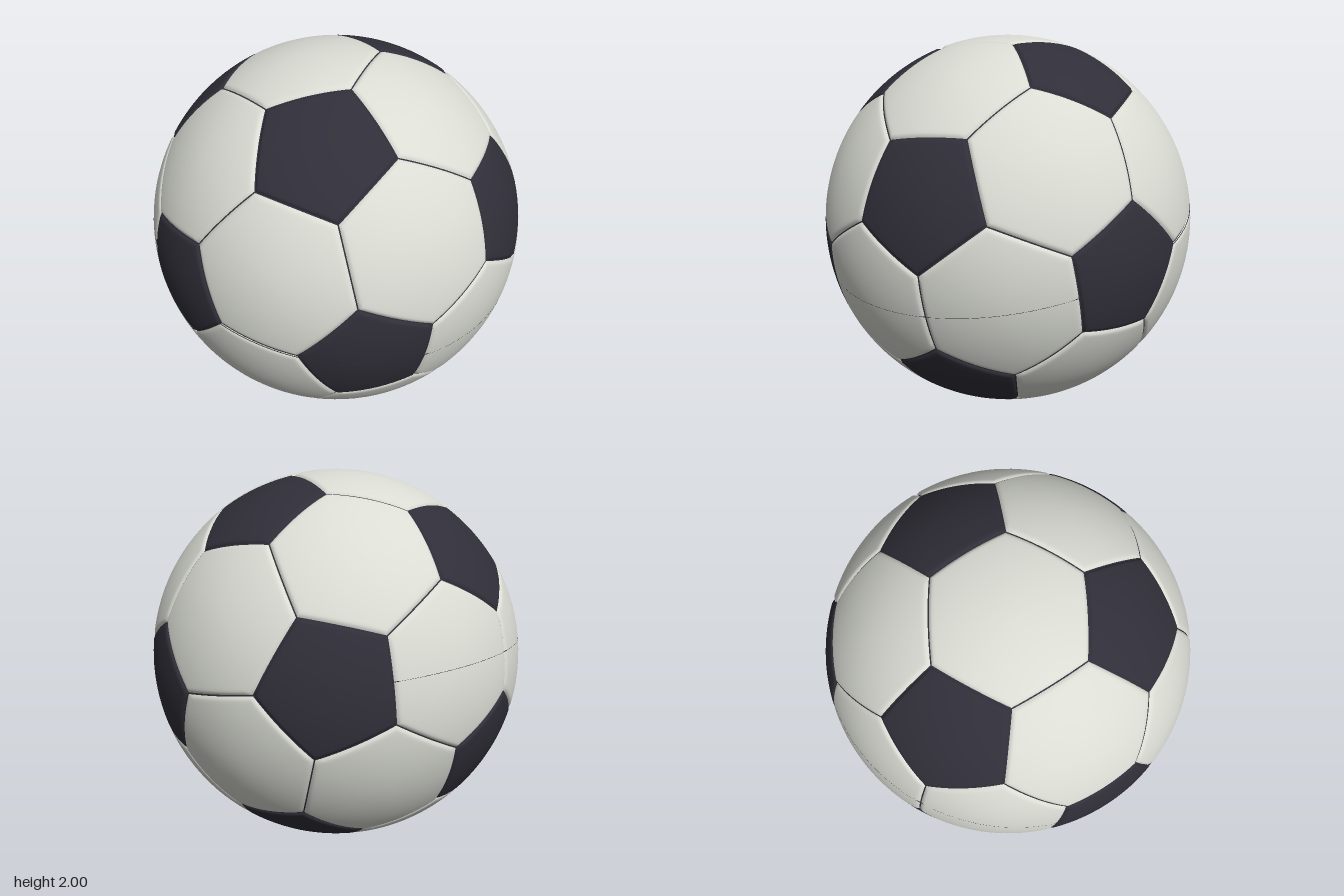
import * as THREE from 'three';
import { mergeVertices } from 'three/addons/utils/BufferGeometryUtils.js';

const RINGS = [0.15, 0.3, 0.45, 0.6, 0.72, 0.82, 0.89, 0.93, 0.95, 0.965, 0.978, 0.99];
const STEPS = 12;

// Twelve icosahedron corners: one pole, its five neighbours, and their opposites
function icosahedronCorners() {
  const pole = new THREE.Vector3(0.587, -0.18, 0.789).normalize();
  const ref = new THREE.Vector3(0.2215, 0.782, 0.583);
  const u = ref.addScaledVector(pole, -ref.dot(pole)).normalize();
  const v = pole.clone().cross(u);
  const corners = [pole];
  for (let i = 0; i < 5; i++) {
    const a = (i * 2 * Math.PI) / 5 + 0.002;
    corners.push(pole.clone().multiplyScalar(1 / Math.sqrt(5))
      .addScaledVector(u, Math.cos(a) * 2 / Math.sqrt(5))
      .addScaledVector(v, Math.sin(a) * 2 / Math.sqrt(5)));
  }
  return corners.concat(corners.map((p) => p.clone().negate()));
}

// A spherical panel whose rim rolls down into the seam
function panelGeometry(outline) {
  const centre = outline.reduce((s, p) => s.add(p), new THREE.Vector3()).divideScalar(outline.length);
  const rim = [];
  outline.forEach((p, i) => {
    const q = outline[(i + 1) % outline.length];
    for (let k = 0; k < STEPS; k++) rim.push(p.clone().lerp(q, k / STEPS));
  });
  const n = rim.length;
  const top = centre.clone().normalize();
  const pos = [top.x, top.y, top.z];
  const index = [];
  RINGS.forEach((t, r) => {
    const s = Math.max(0, (t - 0.92) / 0.07);
    rim.forEach((p, i) => {
      const w = centre.clone().lerp(p, t).normalize().multiplyScalar(1 - 0.01 * s * s);
      pos.push(w.x, w.y, w.z);
      const j = (i + 1) % n;
      const a = 1 + r * n + i, b = 1 + r * n + j;
      if (r === 0) index.push(0, a, b);
      else index.push(a - n, a, b, a - n, b, b - n);
    });
  });
  const g = new THREE.BufferGeometry();
  g.setAttribute('position', new THREE.Float32BufferAttribute(pos, 3));
  g.setIndex(index);
  const merged = mergeVertices(g);
  merged.computeVertexNormals();
  return merged;
}

export function createModel() {
  const white = new THREE.MeshStandardMaterial({ color: 0xdadcd4 });
  white.name = 'panel white';
  const black = new THREE.MeshStandardMaterial({ color: 0x302f39 });
  black.name = 'panel black';

  const ball = new THREE.Group();
  ball.name = 'football';
  ball.position.y = 1;
  const add = (geometry, material, name) => {
    const m = new THREE.Mesh(geometry, material);
    m.name = name;
    ball.add(m);
    return m;
  };

  const C = icosahedronCorners();
  const near = (a, b) => a !== b && a.dot(b) > 0.4;
  const third = (a, b) => a.clone().lerp(b, 1 / 3);

  // Pentagon panels, one round each corner
  C.forEach((c) => {
    const around = C.filter((p) => near(c, p));
    const u = around[0].clone().addScaledVector(c, -around[0].dot(c)).normalize();
    const v = c.clone().cross(u);
    const angle = (p) => Math.atan2(p.dot(v), p.dot(u));
    around.sort((p, q) => angle(p) - angle(q));
    add(panelGeometry(around.map((p) => third(c, p))), black, 'pentagonPanel');
  });

  // Hexagon panels, one in each triangle of neighbouring corners
  for (let i = 0; i < 12; i++) for (let j = i + 1; j < 12; j++) for (let k = j + 1; k < 12; k++) {
    let [a, b, c] = [C[i], C[j], C[k]];
    if (!near(a, b) || !near(b, c) || !near(a, c)) continue;
    if (a.clone().cross(b).dot(c) < 0) [b, c] = [c, b];
    const outline = [third(a, b), third(b, a), third(b, c), third(c, b), third(c, a), third(a, c)];
    add(panelGeometry(outline), white, 'hexagonPanel');
  }

  // Dark core seen through the seams
  add(new THREE.SphereGeometry(0.986, 96, 64), black, 'seamCore');

  // Fine line round the whole ball, through two neighbouring pentagons
  const line = add(new THREE.TorusGeometry(0.9985, 0.0018, 6, 240), black, 'girthLine');
  line.quaternion.setFromUnitVectors(new THREE.Vector3(0, 0, 1), C[0].clone().cross(C[2]).normalize());

  return ball;
}
